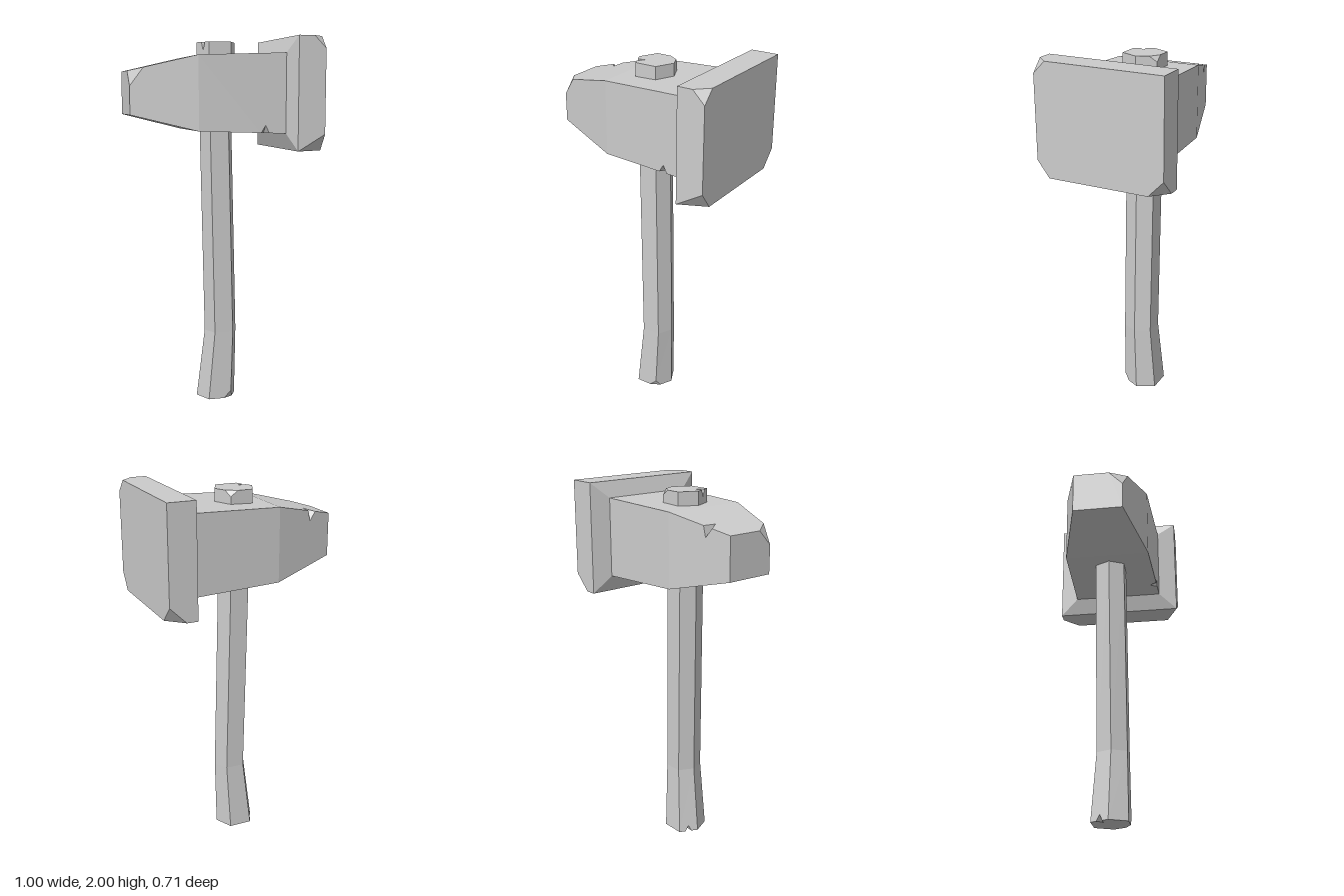
import * as THREE from 'three';

const V = (x, y, z) => new THREE.Vector3(x, y, z);
const same = (p, q) => p.distanceToSquared(q) < 1e-10;

// Closed loft through rings (counter-clockwise seen from the end), as polygon faces
function loft(rings) {
  const n = rings[0].length;
  const faces = [[...rings[0]].reverse(), [...rings[rings.length - 1]]];
  for (let i = 0; i < rings.length - 1; i++) {
    for (let j = 0; j < n; j++) {
      const k = (j + 1) % n;
      faces.push([rings[i][j], rings[i][k], rings[i + 1][k], rings[i + 1][j]]);
    }
  }
  return faces;
}

// Cuts a three-edged corner off; cut gives the length along edges running mainly in x, y, z
function chip(faces, corner, cut) {
  const along = (to) => {
    const d = to.clone().sub(corner);
    const abs = d.toArray().map(Math.abs);
    const axis = abs.indexOf(Math.max(...abs));
    return corner.clone().addScaledVector(d, cut[axis] / abs[axis]);
  };
  const pairs = [];
  for (const face of faces) {
    const i = face.indexOf(corner);
    if (i < 0) continue;
    const n = face.length;
    const before = along(face[(i + n - 1) % n]);
    const after = along(face[(i + 1) % n]);
    face.splice(i, 1, before, after);
    pairs.push([after, before]);
  }
  const [p, q] = pairs[0];
  const third = pairs.flat().find((v) => !same(v, p) && !same(v, q));
  faces.push([p, q, third]);
}

// Cuts a V-shaped nick into edge a-b at t, with a depth for each adjoining face
function nick(faces, a, b, t, width, depthA, depthB) {
  const dir = b.clone().sub(a).normalize();
  const mid = a.clone().lerp(b, t);
  const A = mid.clone().addScaledVector(dir, -width / 2);
  const B = mid.clone().addScaledVector(dir, width / 2);
  const insert = (from, to, points, edgeDir, depth) => {
    const face = faces.find((f) => f.some((p, i) => p === from && f[(i + 1) % f.length] === to));
    const tip = normalOf(face).cross(edgeDir).multiplyScalar(depth).add(mid);
    face.splice(face.indexOf(from) + 1, 0, points[0], tip, points[1]);
    return tip;
  };
  const P = insert(a, b, [A, B], dir, depthA);
  const Q = insert(b, a, [B, A], dir.clone().negate(), depthB);
  faces.push([P, A, Q], [Q, B, P]);
}

function normalOf(face) {
  const n = V(0, 0, 0);
  face.forEach((p, i) => n.add(p.clone().cross(face[(i + 1) % face.length])));
  return n.normalize();
}

// Triangulates the polygon faces into a faceted mesh
function solid(name, faces) {
  const pos = [];
  for (const face of faces) {
    const n = normalOf(face);
    const u = face[1].clone().sub(face[0]).normalize();
    const v = n.clone().cross(u);
    const flat = face.map((p) => new THREE.Vector2(p.dot(u), p.dot(v)));
    for (const tri of THREE.ShapeUtils.triangulateShape(flat, [])) {
      for (const i of tri) pos.push(...face[i].toArray());
    }
  }
  const geo = new THREE.BufferGeometry();
  geo.setAttribute('position', new THREE.Float32BufferAttribute(pos, 3));
  geo.computeVertexNormals();
  const mesh = new THREE.Mesh(geo, new THREE.MeshStandardMaterial({ color: 0xcccccc, flatShading: true }));
  mesh.name = name;
  return mesh;
}

// Rectangular section across the head; corners: low back, high back, high front, low front
const headRing = ([x, lo, hi, h]) => [V(x, lo, -h), V(x, hi, -h), V(x, hi, h), V(x, lo, h)];

// Hexagonal section across the handle, starting at +x and turning toward the back
const hexRing = ([y, cx, rx, cz, rz]) =>
  [[1, 0], [0.57, -1], [-0.57, -1], [-1, 0], [-0.57, 1], [0.57, 1]]
    .map(([x, z]) => V(cx + x * rx, y, cz + z * rz));

export function createModel() {
  const group = new THREE.Group();
  group.name = 'hammer';

  // Head: tapered body flaring into a wide striking plate
  const h = [
    [-0.5, 1.59, 1.82, 0.136],
    [-0.155, 1.505, 1.9, 0.235],
    [0.317, 1.49, 1.915, 0.254],
    [0.35, 1.4, 2, 0.355],
    [0.5, 1.4, 2, 0.355],
  ].map(headRing);
  const head = loft(h);
  chip(head, h[0][2], [0.07, 0.08, 0.076]);
  chip(head, h[4][2], [0.066, 0.066, 0.066]);
  chip(head, h[4][3], [0.149, 0.088, 0.067]);
  chip(head, h[4][0], [0.09, 0.088, 0.085]);
  nick(head, h[0][1], h[1][1], 0.36, 0.05, 0.055, 0.07);
  nick(head, h[1][3], h[2][3], 0.76, 0.045, 0.04, 0.04);
  group.add(solid('head', head));

  // Handle: slightly bent hexagonal shaft with a worn foot
  const s = [
    [0, -0.005, 0.11, 0.003, 0.098],
    [0.38, 0.02, 0.09, 0.011, 0.082],
    [1.55, -0.005, 0.09, 0.002, 0.082],
  ].map(hexRing);
  const handle = loft(s);
  chip(handle, s[0][5], [0.04, 0.04, 0.03]);
  nick(handle, s[0][2], s[0][3], 0.5, 0.035, 0.035, 0.04);
  group.add(solid('handle', handle));

  // Handle end showing above the head
  const e = [
    [1.8, -0.004, 0.107, 0, 0.099],
    [1.975, -0.004, 0.107, 0, 0.099],
  ].map(hexRing);
  const end = loft(e);
  chip(end, e[1][1], [0.04, 0.03, 0.036]);
  nick(end, e[1][3], e[1][4], 0.53, 0.03, 0.045, 0.045);
  group.add(solid('handleEnd', end));

  return group;
}
